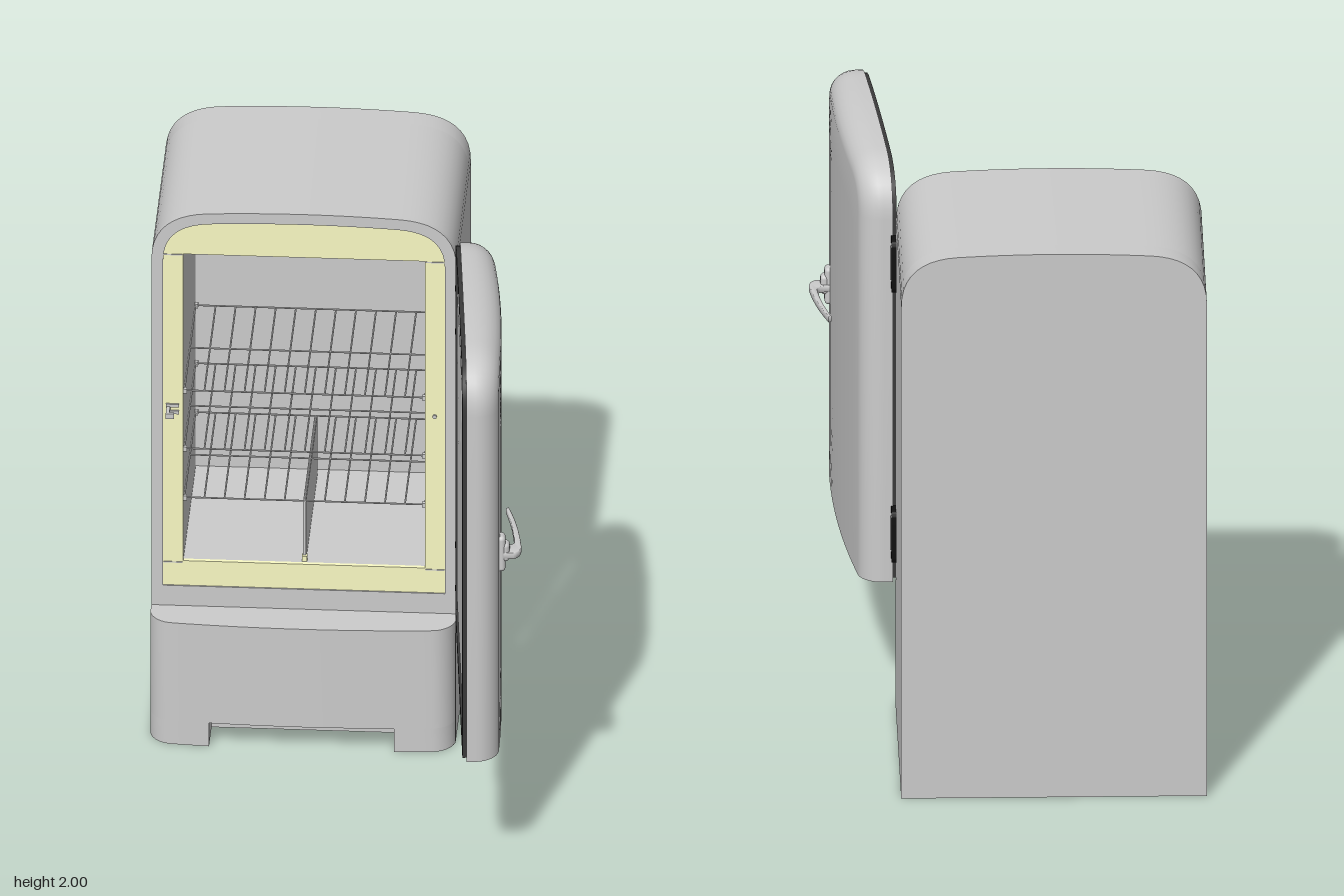
import * as THREE from 'three';
import { toCreasedNormals } from 'three/addons/utils/BufferGeometryUtils.js';
import { RoundedBoxGeometry } from 'three/addons/geometries/RoundedBoxGeometry.js';

const W = 0.52;          // half width of the cabinet
const BULGE = 0.025;     // crown of the door and base panel
const FILLET = 0.075;

const grey = new THREE.MeshStandardMaterial({ color: 0xcccccc });
const cream = new THREE.MeshStandardMaterial({ color: 0xfafac4 });
const black = new THREE.MeshStandardMaterial({ color: 0x101010 });
const rubber = new THREE.MeshStandardMaterial({ color: 0x3a3a3a });

function add(parent, name, geometry, material, x = 0, y = 0, z = 0) {
  const mesh = new THREE.Mesh(geometry, material);
  mesh.name = name;
  mesh.position.set(x, y, z);
  parent.add(mesh);
  return mesh;
}

// Round-shouldered outline with a gently crowned top, inset by i, flat bottom at y0
function outline(i, y0) {
  const w = W - i, t = 2 - i, r = Math.max(0.19 - 0.9 * i, 0.05), e = w - r;
  const p = new THREE.Path();
  p.moveTo(-w, y0);
  for (let k = 1; k <= 12; k++) p.lineTo(-w + (2 * w * k) / 12, y0);
  p.lineTo(w, t - r);
  p.bezierCurveTo(w, t - 0.36 * r, w - 0.4 * r, t - 0.016, e, t - 0.009);
  p.quadraticCurveTo(e / 2, t, 0, t);
  p.quadraticCurveTo(-e / 2, t, -e, t - 0.009);
  p.bezierCurveTo(-w + 0.4 * r, t - 0.016, -w, t - 0.36 * r, -w, t - r);
  return p.getPoints(10);
}

function points(list) {
  return list.map(([x, y]) => new THREE.Vector2(x, y));
}

// Extrude an outline, with an optional hole, from z0 to z1
function slab(outer, hole, z0, z1) {
  const shape = new THREE.Shape(outer);
  if (hole) shape.holes.push(new THREE.Path(hole));
  const geo = new THREE.ExtrudeGeometry(shape, { depth: z1 - z0, bevelEnabled: false });
  return toCreasedNormals(geo.translate(0, 0, z0), 0.6);
}

// Skin closed rings of equal point count
function loft(rings) {
  const n = rings[0].length, index = [];
  for (let r = 0; r < rings.length - 1; r++) {
    for (let k = 0; k < n; k++) {
      const a = r * n + k, b = r * n + (k + 1) % n;
      index.push(a, b, b + n, a, b + n, a + n);
    }
  }
  const geo = new THREE.BufferGeometry().setFromPoints(rings.flat());
  geo.setIndex(index);
  return toCreasedNormals(geo, 0.6);
}

// Door shell: raised liner panel, flat back, side wall, fillet, crowned front
function doorGeometry() {
  const y0 = 0.475, midY = 1.22;
  const crown = (x) => BULGE * (1 - (x / W) ** 2);
  const ring = (i, lift, zf, s = 1) => outline(i, y0 + lift).map(
    (p) => new THREE.Vector3(p.x * s, midY + (p.y - midY) * s, zf(p.x * s)));
  const rings = [
    ring(0.165, 0.165, () => -0.012, 0),
    ring(0.165, 0.165, () => -0.012),
    ring(0.15, 0.15, () => 0),
    ring(0, 0, () => 0),
  ];
  for (let k = 0; k <= 7; k++) {
    const a = (k / 7) * Math.PI / 2, s = Math.sin(a);
    rings.push(ring(FILLET * (1 - Math.cos(a)), 0, (x) => 0.03 + (FILLET + crown(x)) * s));
  }
  for (const s of [0.8, 0.6, 0.4, 0.2, 0]) {
    rings.push(ring(FILLET, 0, (x) => 0.03 + FILLET + crown(x), s));
  }
  return loft(rings);
}

// Base panel piece: bowed plan between x0 and x1, raised from y0 to y1
function baseGeometry(x0, x1, y0, y1) {
  const pts = points([[x1, 0.142], [x0, 0.142]]);
  const front = (x) => {
    const c = Math.max(0, Math.abs(x) - (W - FILLET)) / FILLET;
    return -0.1 + (FILLET + BULGE * (1 - (x / W) ** 2)) * Math.sqrt(Math.max(0, 1 - c * c));
  };
  let last = null;
  for (let k = 0; k <= 48; k++) {
    const x = Math.min(x1, Math.max(x0, -W * Math.cos((k / 48) * Math.PI)));
    if (x !== last) pts.push(new THREE.Vector2(x, -front(x)));
    last = x;
  }
  return slab(pts, null, y0, y1).rotateX(-Math.PI / 2);
}

// C-shaped hinge barrel with rounded rear corners
function hingeGeometry() {
  const s = new THREE.Shape(points([[0.132, 0.096], [0.132, 0.072], [0.148, 0.072],
    [0.148, -0.072], [0.132, -0.072], [0.132, -0.096]]));
  s.lineTo(0.166, -0.096);
  s.quadraticCurveTo(0.188, -0.096, 0.188, -0.074);
  s.lineTo(0.188, 0.074);
  s.quadraticCurveTo(0.188, 0.096, 0.166, 0.096);
  return slab(s.getPoints(6), null, -0.01, 0.01).rotateY(Math.PI / 2);
}

function rod(parent, name, from, to, radius) {
  const path = new THREE.LineCurve3(new THREE.Vector3(...from), new THREE.Vector3(...to));
  return add(parent, name, new THREE.TubeGeometry(path, 1, radius, 8), grey);
}

function wireShelf(y) {
  const shelf = new THREE.Group();
  shelf.name = 'wireShelf';
  const x = 0.41, back = -0.78, front = -0.18;
  for (const z of [front, (front + back) / 2, back]) rod(shelf, 'crossRail', [-x, y, z], [x, y, z], 0.003);
  for (let k = 0; k <= 12; k++) {
    const bx = -x + (2 * x * k) / 12;
    rod(shelf, 'shelfWire', [bx, y, front], [bx, y, back], 0.003);
  }
  for (const s of [-1, 1]) {
    for (const z of [front, back]) {
      add(shelf, 'shelfBracket', new THREE.BoxGeometry(0.012, 0.016, 0.016), grey, s * 0.407, y, z);
    }
  }
  return shelf;
}

export function createModel() {
  const model = new THREE.Group();
  model.name = 'refrigerator';

  // Cabinet shell with open compartment
  const cabinet = new THREE.Group();
  cabinet.name = 'cabinet';
  cabinet.position.x = -0.14;
  model.add(cabinet);
  const opening = points([[-0.412, 0.64], [0.412, 0.64], [0.412, 1.83], [-0.412, 1.83]]);
  add(cabinet, 'backPanel', slab(outline(0, 0), null, -0.905, -0.82), grey);
  add(cabinet, 'cabinetShell', slab(outline(0, 0), opening, -0.82, -0.165), grey);
  add(cabinet, 'frontRim', slab(outline(0, 0), outline(0.04, 0.545), -0.165, -0.145), grey);
  add(cabinet, 'doorSurround', slab(outline(0.04, 0.545), opening, -0.165, -0.15), cream);

  // Base panel with toe notch
  add(cabinet, 'basePanel', baseGeometry(-W, W, 0.09, 0.47), grey);
  add(cabinet, 'leftFoot', baseGeometry(0.315, W, 0, 0.09), grey);
  add(cabinet, 'rightFoot', baseGeometry(-W, -0.315, 0, 0.09), grey);

  // Compartment fittings
  for (const y of [1.285, 1.06, 0.87]) cabinet.add(wireShelf(y));
  add(cabinet, 'drawerDivider', new THREE.BoxGeometry(0.01, 0.23, 0.6), grey, 0, 0.755, -0.48);
  add(cabinet, 'dividerFoot', new THREE.BoxGeometry(0.018, 0.02, 0.02), cream, 0, 0.65, -0.18);

  // Surround seams, latch catch and light switch
  for (const s of [-1, 1]) {
    for (const y of [0.634, 1.827]) {
      add(cabinet, 'surroundSeam', new THREE.BoxGeometry(0.065, 0.004, 0.004), grey, s * 0.446, y, -0.1495);
    }
  }
  for (const y of [1.217, 1.243]) {
    add(cabinet, 'latchPlate', new THREE.BoxGeometry(0.045, 0.012, 0.008), grey, -0.448, y, -0.147);
  }
  add(cabinet, 'latchPin', new THREE.BoxGeometry(0.012, 0.02, 0.055), grey, -0.462, 1.23, -0.122);
  add(cabinet, 'latchHook', new THREE.BoxGeometry(0.028, 0.02, 0.012), grey, -0.454, 1.23, -0.097);
  add(cabinet, 'lightSwitch', new THREE.CylinderGeometry(0.007, 0.007, 0.012, 12).rotateX(Math.PI / 2),
    grey, 0.445, 1.23, -0.149);

  // Door swung open on its hinge line
  const door = new THREE.Group();
  door.name = 'door';
  door.position.set(0.39, 0, -0.13);
  door.rotation.y = THREE.MathUtils.degToRad(95);
  model.add(door);
  add(door, 'doorShell', doorGeometry(), grey, -W);
  add(door, 'doorGasket', slab(outline(0.01, 0.486), outline(0.04, 0.516), -0.014, 0.001), rubber, -W);

  // Hinges
  for (const y of [0.66, 1.655]) {
    add(model, 'hinge', hingeGeometry(), black, 0.386, y, 0);
    add(model, 'hingeLeaf', new THREE.BoxGeometry(0.016, 0.12, 0.03), grey, 0.39, y, -0.14);
  }

  // Door handle: back plate, boss and swept lever
  const plate = add(model, 'handlePlate', new RoundedBoxGeometry(0.03, 0.135, 0.05, 4, 0.014),
    grey, 0.588, 1.207, 0.746);
  plate.rotation.y = 0.05;
  add(model, 'handleBoss', new RoundedBoxGeometry(0.03, 0.07, 0.046, 4, 0.014), grey, 0.602, 1.212, 0.744);
  const s = new THREE.Shape();
  s.moveTo(0.58, -0.765);
  s.lineTo(0.632, -0.765);
  s.quadraticCurveTo(0.657, -0.75, 0.652, -0.71);
  s.quadraticCurveTo(0.635, -0.57, 0.594, -0.448);
  s.lineTo(0.589, -0.452);
  s.quadraticCurveTo(0.622, -0.57, 0.632, -0.69);
  s.quadraticCurveTo(0.63, -0.715, 0.58, -0.718);
  const lever = new THREE.ExtrudeGeometry(s, {
    depth: 0.014, bevelSize: 0.003, bevelThickness: 0.005, bevelSegments: 3, curveSegments: 12,
  });
  add(model, 'handleLever', toCreasedNormals(lever.rotateX(-Math.PI / 2), 0.7), grey, 0, 1.196, 0);

  return model;
}
